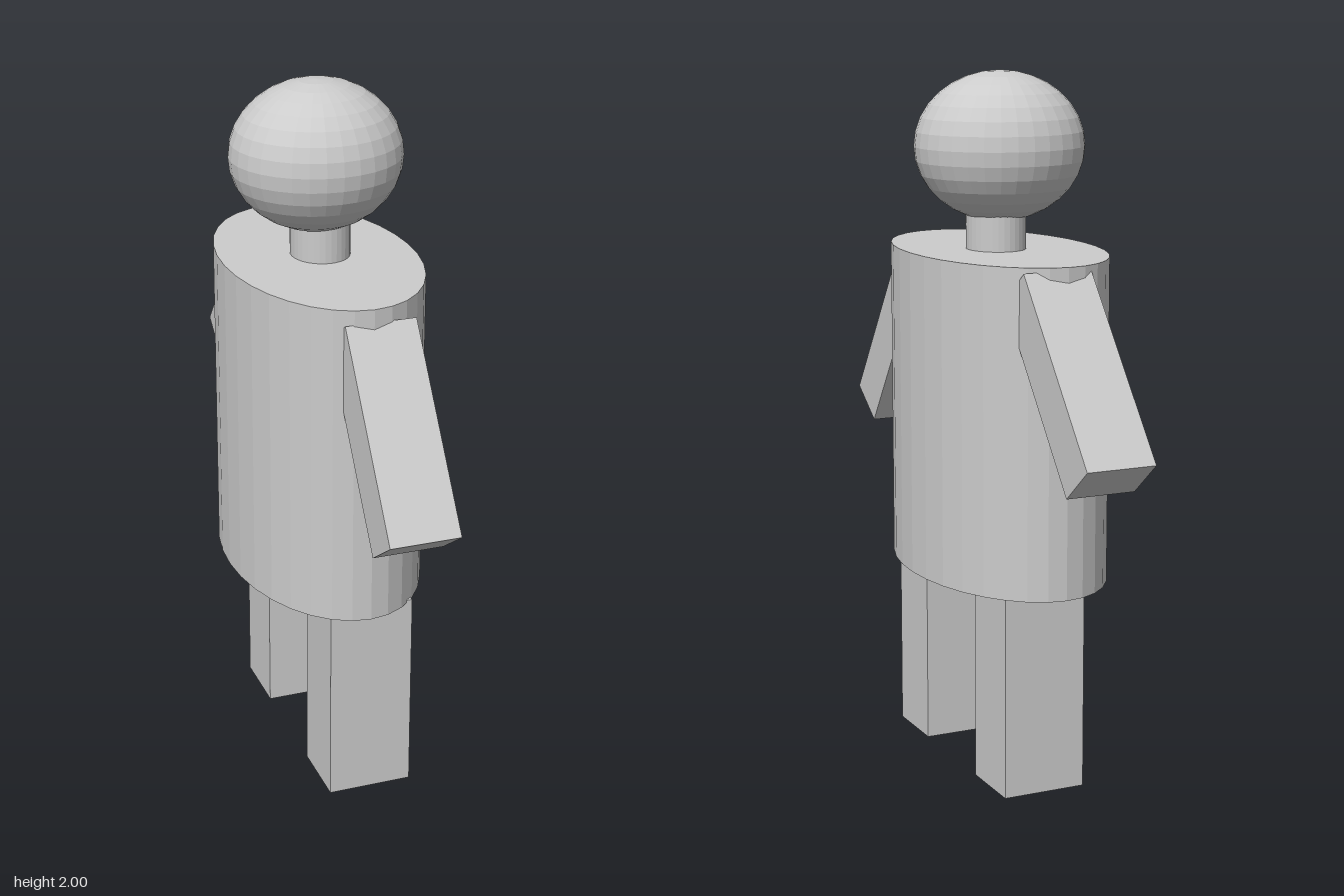
import * as THREE from 'three';

export function createModel() {
  const model = new THREE.Group();
  const material = new THREE.MeshStandardMaterial({ color: 0xcccccc, flatShading: true });

  const add = (name, geometry, x, y, z) => {
    const mesh = new THREE.Mesh(geometry, material);
    mesh.name = name;
    mesh.position.set(x, y, z);
    model.add(mesh);
    return mesh;
  };

  // Oval drum torso
  add('torso', new THREE.CylinderGeometry(1, 1, 0.92, 32).scale(0.27, 1, 0.447), 0, 1.042, 0.012);

  // Short neck running up into the head
  add('neck', new THREE.CylinderGeometry(1, 1, 0.2, 32).scale(0.083, 1, 0.093), 0.012, 1.58, 0);

  // Slightly flattened head
  add('head', new THREE.SphereGeometry(1, 32, 16).scale(0.243, 0.21, 0.228), 0, 1.79, 0);

  // Square legs, tops just inside the torso
  for (const [name, z] of [['frontLeg', 0.304], ['backLeg', -0.244]]) {
    add(name, new THREE.BoxGeometry(0.243, 0.59, 0.202), 0.022, 0.295, z);
  }

  // Arms slanting down and away from the torso
  for (const [name, y, z, tilt] of [
    ['frontArm', 1.175, 0.557, -0.611],
    ['backArm', 1.212, -0.54, 0.684],
  ]) {
    add(name, new THREE.BoxGeometry(0.2, 0.593, 0.15), 0.022, y, z).rotation.x = tilt;
  }

  return model;
}
